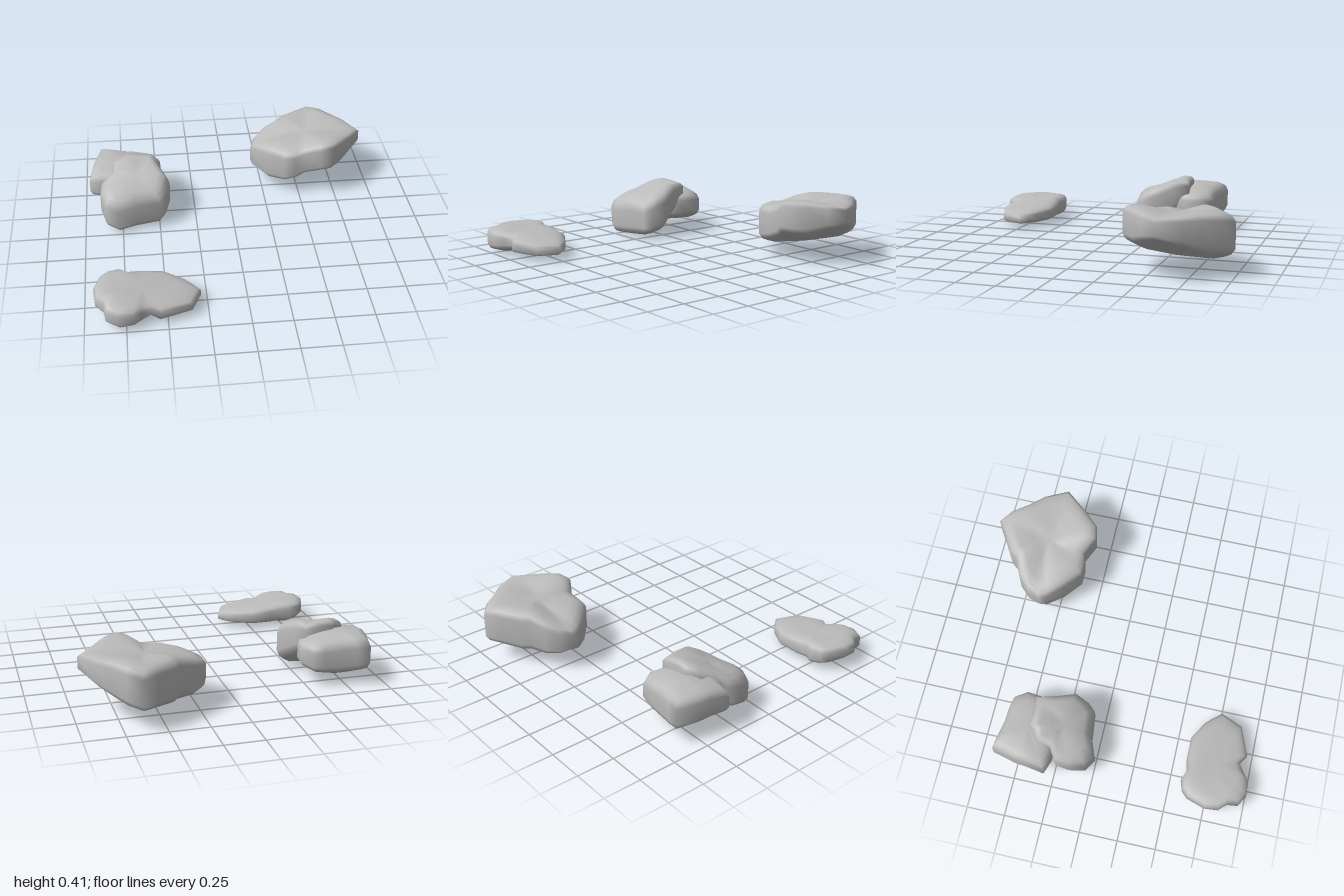
import * as THREE from 'three';

const stone = new THREE.MeshStandardMaterial({ color: 0xbbbbbb });
stone.name = 'grey stone';

// Rounded slab: rim points are [x, z, bottom, top], clockwise from above.
// The same four values for the centre let the faces tilt, bulge or dip.
// edge is the share of the thickness left standing upright at the rim.
function rock(name, centre, rim, edge) {
  const bevel = (1 + edge) / 2;
  const rings = [
    [0.35, 1], [0.7, 1], [0.84, 0.5 + bevel / 2], [0.94, bevel], [1, edge],
    [1, -edge], [0.93, -bevel], [0.82, -0.5 - bevel / 2], [0.65, -1], [0.35, -1],
  ];
  const n = rim.length, pos = [], index = [];
  const add = (p, r, t) => {
    const [x, z, low, high] = centre.map((c, k) => c + (p[k] - c) * r);
    pos.push(x, low + (high - low) * (t + 1) / 2, z);
  };
  add(centre, 0, 1);
  for (const [r, t] of rings) for (const p of rim) add(p, r, t);
  add(centre, 0, -1);
  const last = pos.length / 3 - 1;
  for (let i = 0; i < n; i++) {
    const j = (i + 1) % n;
    index.push(0, 1 + j, 1 + i);
    for (let k = 0; k < rings.length - 1; k++) {
      const a = 1 + k * n + i, b = 1 + k * n + j;
      index.push(a, b, a + n, b, b + n, a + n);
    }
    index.push(last - n + i, last - n + j, last);
  }
  const geo = new THREE.BufferGeometry();
  geo.setAttribute('position', new THREE.Float32BufferAttribute(pos, 3));
  geo.setIndex(index);
  geo.computeVertexNormals();
  const mesh = new THREE.Mesh(geo, stone);
  mesh.name = name;
  return mesh;
}

export function createModel() {
  const group = new THREE.Group();
  group.name = 'rocks';

  // Thin flat stone, thicker at its left end
  group.add(rock('flatRock', [-0.64, 0.77, 0.015, 0.15], [
    [-0.94, 0.75, 0.05, 0.18], [-0.9, 0.63, 0.04, 0.18], [-0.86, 0.59, 0.03, 0.18],
    [-0.79, 0.57, 0.02, 0.175], [-0.73, 0.595, 0.02, 0.165], [-0.65, 0.58, 0.02, 0.155],
    [-0.5, 0.58, 0.02, 0.135], [-0.38, 0.65, 0.015, 0.12], [-0.34, 0.69, 0.015, 0.115],
    [-0.29, 0.75, 0.015, 0.105], [-0.35, 0.89, 0.015, 0.11], [-0.54, 0.96, 0.02, 0.125],
    [-0.6, 0.92, 0.03, 0.13], [-0.66, 0.96, 0.02, 0.145], [-0.71, 0.995, 0.01, 0.155],
    [-0.8, 1.0, 0.0, 0.165], [-0.87, 0.96, 0.01, 0.175], [-0.88, 0.89, 0.02, 0.18],
    [-0.93, 0.84, 0.04, 0.18],
  ], 0.4));

  // Slab leaning back on its neighbour
  group.add(rock('leaningRock', [-0.66, -0.23, 0.03, 0.32], [
    [-0.885, -0.24, 0.07, 0.29], [-0.81, -0.29, 0.1, 0.34], [-0.8, -0.38, 0.16, 0.37],
    [-0.74, -0.41, 0.18, 0.39], [-0.71, -0.44, 0.2, 0.4], [-0.62, -0.435, 0.2, 0.395],
    [-0.52, -0.45, 0.2, 0.38], [-0.49, -0.35, 0.14, 0.38], [-0.42, -0.21, 0.04, 0.33],
    [-0.45, -0.12, 0.01, 0.28], [-0.49, -0.07, -0.005, 0.25], [-0.66, -0.05, -0.02, 0.25],
    [-0.78, -0.005, -0.02, 0.24], [-0.86, -0.05, 0.0, 0.25], [-0.89, -0.15, 0.04, 0.27],
  ], 0.45));

  // Blocky stone behind it
  group.add(rock('backRock', [-0.71, -0.44, 0.07, 0.32], [
    [-0.96, -0.3, 0.11, 0.29], [-0.94, -0.42, 0.1, 0.32], [-0.93, -0.5, 0.09, 0.32],
    [-0.89, -0.65, 0.08, 0.32], [-0.81, -0.64, 0.07, 0.31], [-0.7, -0.62, 0.06, 0.3],
    [-0.6, -0.615, 0.07, 0.29], [-0.52, -0.6, 0.08, 0.28], [-0.47, -0.52, 0.1, 0.28],
    [-0.48, -0.43, 0.1, 0.28], [-0.52, -0.33, 0.1, 0.28], [-0.6, -0.27, 0.09, 0.28],
    [-0.74, -0.26, 0.09, 0.28], [-0.87, -0.27, 0.1, 0.3],
  ], 0.45));

  // Large stone: shallow valley across the top, front undercut
  group.add(rock('largeRock', [0.57, -0.63, 0.09, 0.355], [
    [0.18, -0.62, 0.11, 0.29], [0.21, -0.7, 0.09, 0.32], [0.28, -0.77, 0.08, 0.36],
    [0.39, -0.82, 0.08, 0.395], [0.43, -0.87, 0.08, 0.4], [0.55, -0.94, 0.09, 0.4],
    [0.645, -1.0, 0.1, 0.395], [0.73, -0.93, 0.12, 0.41], [0.8, -0.83, 0.15, 0.41],
    [0.88, -0.74, 0.2, 0.4], [0.955, -0.59, 0.25, 0.385], [0.88, -0.5, 0.22, 0.4],
    [0.8, -0.41, 0.18, 0.42], [0.73, -0.34, 0.18, 0.425], [0.64, -0.32, 0.18, 0.415],
    [0.54, -0.38, 0.13, 0.36], [0.47, -0.365, 0.1, 0.34], [0.39, -0.37, 0.08, 0.34],
    [0.28, -0.47, 0.05, 0.34], [0.19, -0.57, 0.09, 0.31],
  ], 0.55));

  return group;
}
